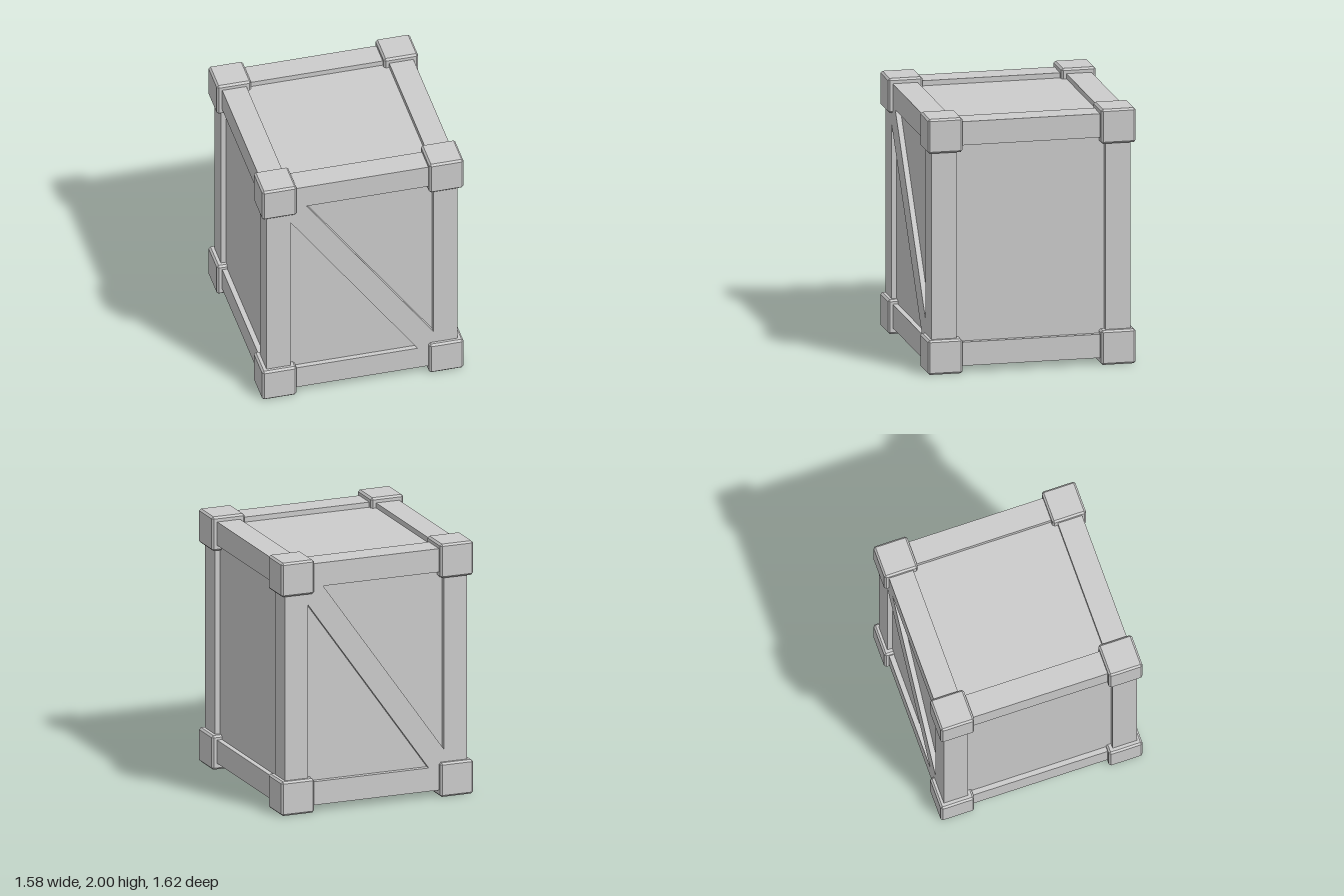
import * as THREE from 'three';
import { ConvexGeometry } from 'three/addons/geometries/ConvexGeometry.js';

// half sizes of the framed body, frame plate thickness and rail width
const HX = 0.75, HY = 0.955, HZ = 0.775, T = 0.04, RAIL = 0.19;
const MID_Y = 1.005;

const material = new THREE.MeshStandardMaterial({ color: 0xcccccc, flatShading: true });

function addMesh(parent, name, geometry) {
  const mesh = new THREE.Mesh(geometry, material);
  mesh.name = name;
  parent.add(mesh);
  return mesh;
}

const points = (list) => list.map(([x, y]) => new THREE.Vector2(x, y));
const rectangle = (a, b) => points([[-a, -b], [a, -b], [a, b], [-a, b]]);

// flat plate with cut-outs, its back on z = 0
function plate(halfW, halfH, holes) {
  const shape = new THREE.Shape(rectangle(halfW, halfH));
  for (const hole of holes) shape.holes.push(new THREE.Path(hole));
  return new THREE.ExtrudeGeometry(shape, { depth: T, bevelEnabled: false });
}

// box with a single flat chamfer on every edge
function chamferedBox(size, c) {
  const h = size / 2, k = h - c, corners = [];
  for (const x of [-1, 1]) for (const y of [-1, 1]) for (const z of [-1, 1]) {
    corners.push(
      new THREE.Vector3(x * h, y * k, z * k),
      new THREE.Vector3(x * k, y * h, z * k),
      new THREE.Vector3(x * k, y * k, z * h));
  }
  return new ConvexGeometry(corners);
}

export function createModel() {
  const crate = new THREE.Group();
  crate.name = 'crate';

  // recessed panels
  const core = new THREE.BoxGeometry(2 * (HX - T), 2 * (HY - T), 2 * (HZ - T));
  addMesh(crate, 'innerPanels', core).position.y = MID_Y;

  const ix = HX - RAIL, iy = HY - RAIL + 0.005, iz = HZ - RAIL - 0.005;

  // front and back frames: two triangular openings leave a diagonal brace
  const triangle = [[-ix, 0.635], [-ix, -iy], [0.435, -iy]];
  const openings = [points(triangle), points(triangle.map(([x, y]) => [-x, -y]))];
  const braced = plate(HX, HY, openings);
  ['frontFrame', 'backFrame'].forEach((name, i) => {
    const mesh = addMesh(crate, name, braced);
    mesh.position.set(0, MID_Y, (i ? -1 : 1) * (HZ - T));
    mesh.rotation.y = i * Math.PI;
  });

  // side frames
  const side = plate(HZ - T, HY, [rectangle(iz, iy)]);
  for (const s of [1, -1]) {
    const mesh = addMesh(crate, s > 0 ? 'leftFrame' : 'rightFrame', side);
    mesh.position.set(s * (HX - T), MID_Y, 0);
    mesh.rotation.y = s * Math.PI / 2;
  }

  // top and bottom frames
  const lid = plate(HX - T, HZ - T, [rectangle(ix, iz)]);
  for (const s of [1, -1]) {
    const mesh = addMesh(crate, s > 0 ? 'topFrame' : 'bottomFrame', lid);
    mesh.position.y = MID_Y + s * (HY - T);
    mesh.rotation.x = -s * Math.PI / 2;
  }

  // corner blocks
  const block = chamferedBox(0.27, 0.015);
  for (const x of [-1, 1]) for (const y of [-1, 1]) for (const z of [-1, 1]) {
    addMesh(crate, 'cornerBlock', block).position.set(x * 0.655, 1 + y * 0.865, z * 0.675);
  }

  return crate;
}
